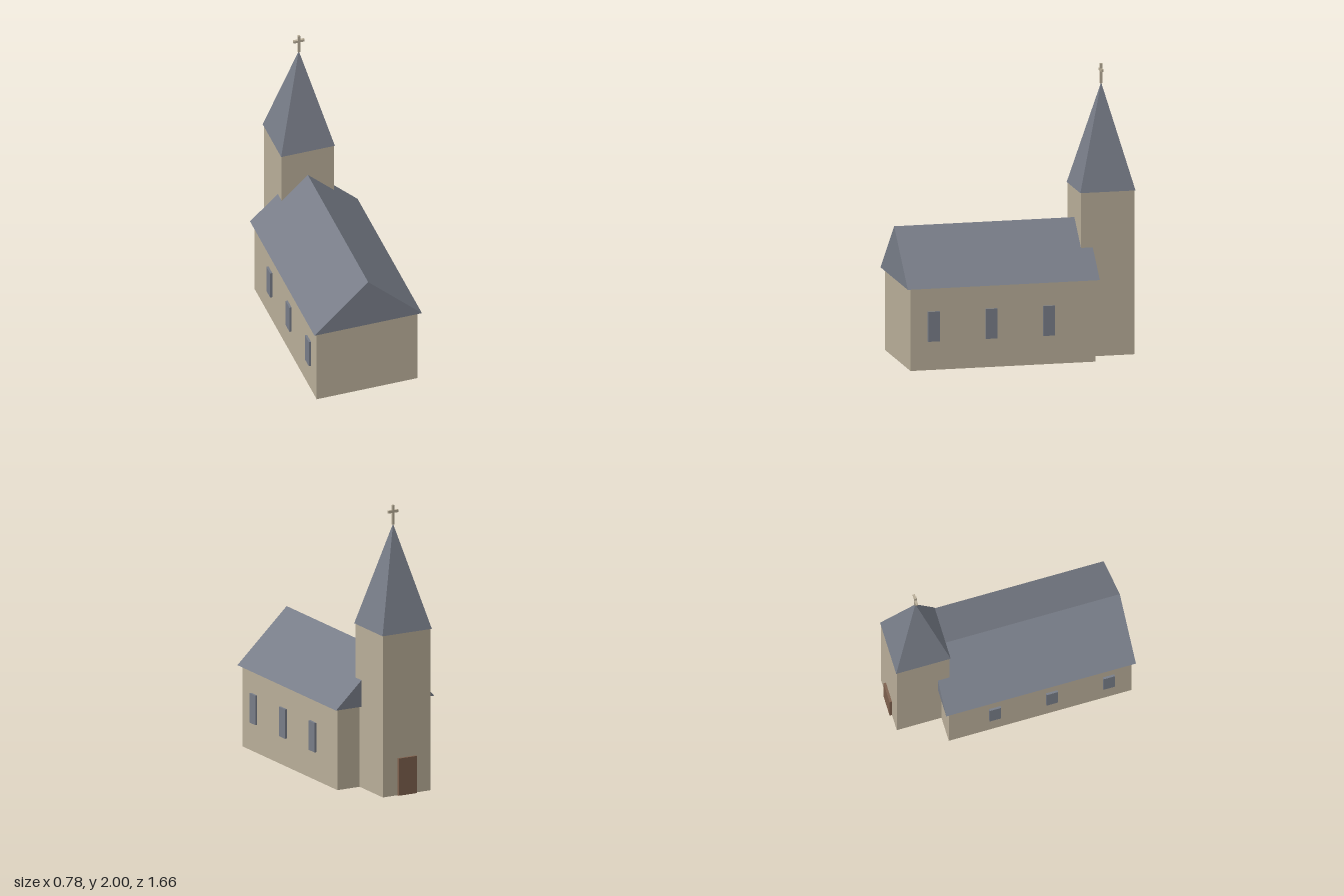
import * as THREE from 'three';

export function createModel() {
  const group = new THREE.Group();
  const material = (name, color) => {
    const m = new THREE.MeshStandardMaterial({ color });
    m.name = name;
    return m;
  };
  const stone = material('stone', 0xb8ad98);
  const slate = material('slate', 0x777c87);
  const wood = material('wood', 0x7d604d);

  const add = (name, geometry, mat, x = 0, y = 0, z = 0) => {
    const mesh = new THREE.Mesh(geometry, mat);
    mesh.name = name;
    mesh.position.set(x, y, z);
    group.add(mesh);
    return mesh;
  };
  // Box given by its centre in x and z and its bottom in y
  const box = (name, mat, w, h, d, x, y, z) =>
    add(name, new THREE.BoxGeometry(w, h, d), mat, x, y + h / 2, z);

  // Nave with a gabled roof overhanging on all sides
  box('nave', stone, 0.726, 0.572, 1.3, 0, 0, 0.155);
  const gable = new THREE.Shape([
    new THREE.Vector2(-0.388, 0.572),
    new THREE.Vector2(0.388, 0.572),
    new THREE.Vector2(0, 0.937),
  ]);
  const roof = new THREE.ExtrudeGeometry(gable, { depth: 1.35, bevelEnabled: false });
  add('naveRoof', roof, slate, 0, 0, -0.52);

  // Tower with a four-sided spire
  const towerZ = -0.625;
  box('tower', stone, 0.376, 1.143, 0.376, 0, 0, towerZ);
  const spire = new THREE.ConeGeometry(0.194 * Math.SQRT2, 0.725, 4, 1).toNonIndexed();
  spire.rotateY(Math.PI / 4);
  spire.computeVertexNormals();
  add('spire', spire, slate, 0, 1.143 + 0.3625, towerZ);

  // Cross on the spire
  box('crossPost', stone, 0.016, 0.138, 0.016, 0, 1.862, towerZ);
  box('crossArm', stone, 0.08, 0.018, 0.016, 0, 1.946, towerZ);

  // Three windows on each long side
  for (const side of [-1, 1]) {
    for (const z of [0.643, 0.238, -0.167]) {
      box('window', slate, 0.03, 0.208, 0.082, side * 0.363, 0.2, z);
    }
  }

  // Door at the foot of the tower
  box('door', wood, 0.145, 0.263, 0.03, 0, 0, -0.815);

  return group;
}
